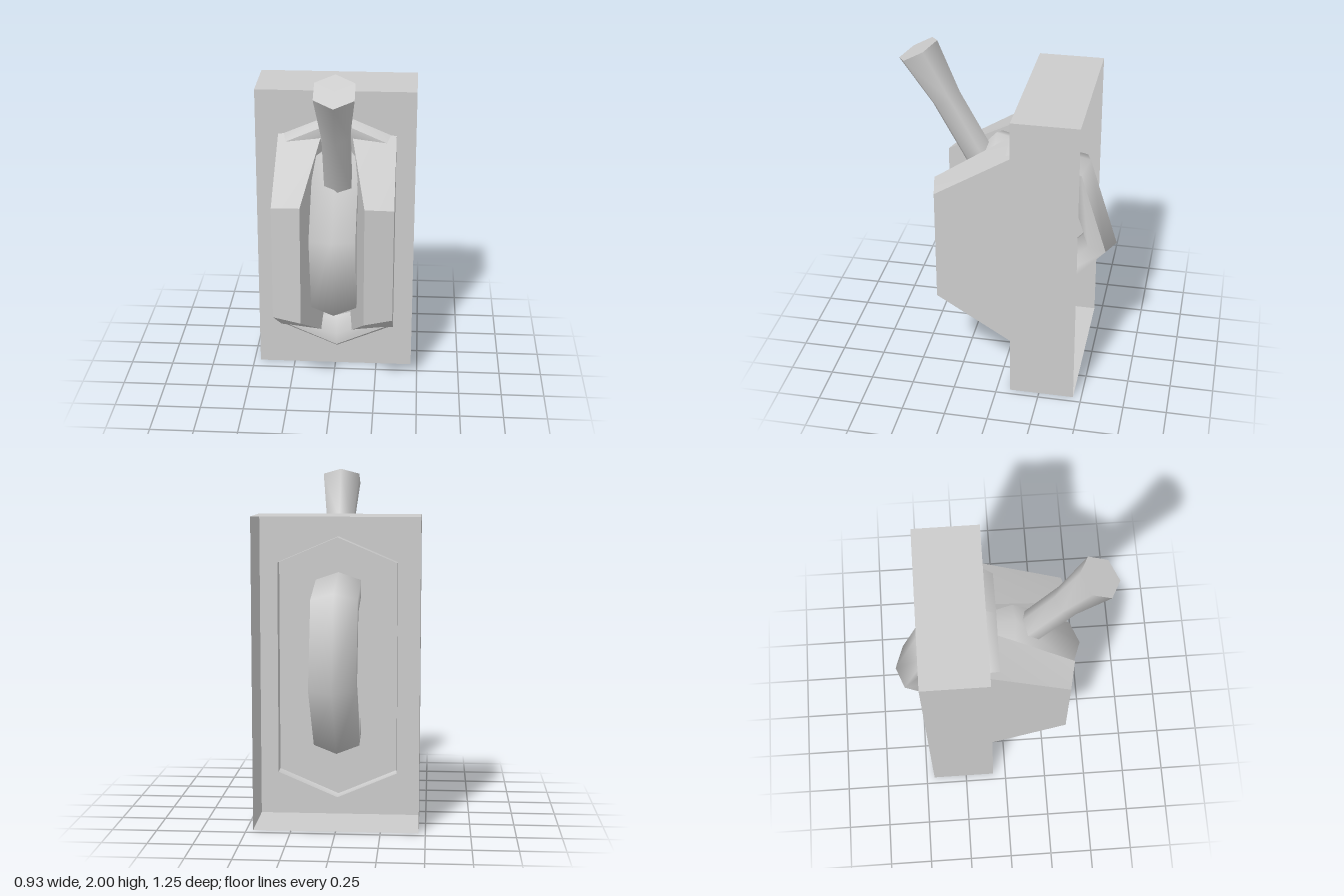
import * as THREE from 'three';
import { toCreasedNormals } from 'three/addons/utils/BufferGeometryUtils.js';

const CX = 0.01; // the switch sits slightly off the box centre
const MID_Y = 0.8725;
const mat = new THREE.MeshStandardMaterial({ color: 0xcccccc, side: THREE.DoubleSide });

function add(group, name, geometry) {
  const mesh = new THREE.Mesh(geometry, mat);
  mesh.name = name;
  group.add(mesh);
  return mesh;
}

// Upright hexagon: half width, half height at the corners, half height at the tips
function hexLoop(w, corner, tip, z) {
  return [[w, -corner], [w, corner], [0, tip], [-w, corner], [-w, -corner], [0, -tip]]
    .map(([x, y]) => [CX + x, MID_Y + y, z]);
}

function loft(loops) {
  const n = loops[0].length, index = [];
  for (let j = 0; j < loops.length - 1; j++) {
    for (let i = 0; i < n; i++) {
      const a = j * n + i, b = j * n + (i + 1) % n;
      index.push(a, b, b + n, a, b + n, a + n);
    }
  }
  const g = new THREE.BufferGeometry();
  g.setAttribute('position', new THREE.Float32BufferAttribute(loops.flat(2), 3));
  g.setIndex(index);
  return toCreasedNormals(g, 0.9);
}

// Side cheek: trapezoid profile, outer side slightly smaller, inner wall leaning in
function cheekGeometry(side) {
  const shape = new THREE.Shape([[-0.075, 0.225], [0.41, 0.52], [0.41, 1.23], [-0.075, 1.52]]
    .map(([z, y]) => new THREE.Vector2(-z, y)));
  const g = new THREE.ExtrudeGeometry(shape, { depth: 1, bevelEnabled: false });
  g.rotateY(Math.PI / 2); // profile now in the z-y plane, depth along +x
  const p = g.attributes.position;
  for (let i = 0; i < p.count; i++) {
    const outer = (p.getX(i) > 0.5) === (side > 0);
    const z = p.getZ(i), y = p.getY(i);
    if (outer) {
      p.setXYZ(i, CX + side * 0.34, MID_Y + (y - MID_Y) * 0.95, z > 0 ? 0.375 : z);
    } else {
      p.setX(i, CX + side * (0.178 - (0.41 - z) * 0.2));
    }
  }
  return toCreasedNormals(g, 0.9);
}

export function createModel() {
  const model = new THREE.Group();
  model.name = 'leverSwitch';

  // Wall box, open at the back (the last face of the box is dropped)
  const box = new THREE.BoxGeometry(0.925, 1.75, 0.375);
  box.setIndex(Array.from(box.index.array).slice(0, 30));
  box.clearGroups();
  box.translate(0, 0.875, -0.265);
  add(model, 'wallBox', box);

  // Hexagonal bezel around the slot
  add(model, 'bezel', loft([
    hexLoop(0.34, 0.605, 0.75, -0.17),
    hexLoop(0.34, 0.605, 0.75, -0.075),
    hexLoop(0.31, 0.58, 0.715, -0.02),
    hexLoop(0.24, 0.545, 0.645, -0.02),
    hexLoop(0.13, 0.505, 0.545, -0.075),
  ]));

  add(model, 'leftCheek', cheekGeometry(1));
  add(model, 'rightCheek', cheekGeometry(-1));

  // Six-sided ring turning in the slot
  const section = [[0.505, -0.13], [0.555, 0], [0.505, 0.13], [0.40, 0.13],
    [0.36, 0], [0.40, -0.13], [0.505, -0.13]].map(([r, h]) => new THREE.Vector2(r, h));
  const ring = new THREE.LatheGeometry(section, 6, THREE.MathUtils.degToRad(12.5));
  ring.rotateZ(Math.PI / 2);
  add(model, 'pivotRing', ring).position.set(CX, 0.925, -0.08);

  // Hexagonal handle flaring towards its end
  const profile = [[0, 0], [0.088, 0], [0.088, 0.43], [0.125, 0.75], [0, 0.75]]
    .map(([r, h]) => new THREE.Vector2(r, h));
  const handle = toCreasedNormals(new THREE.LatheGeometry(profile, 6), 1.1);
  handle.rotateX(0.5);
  add(model, 'handle', handle).position.set(0.03, 1.28, 0.16);

  return model;
}
